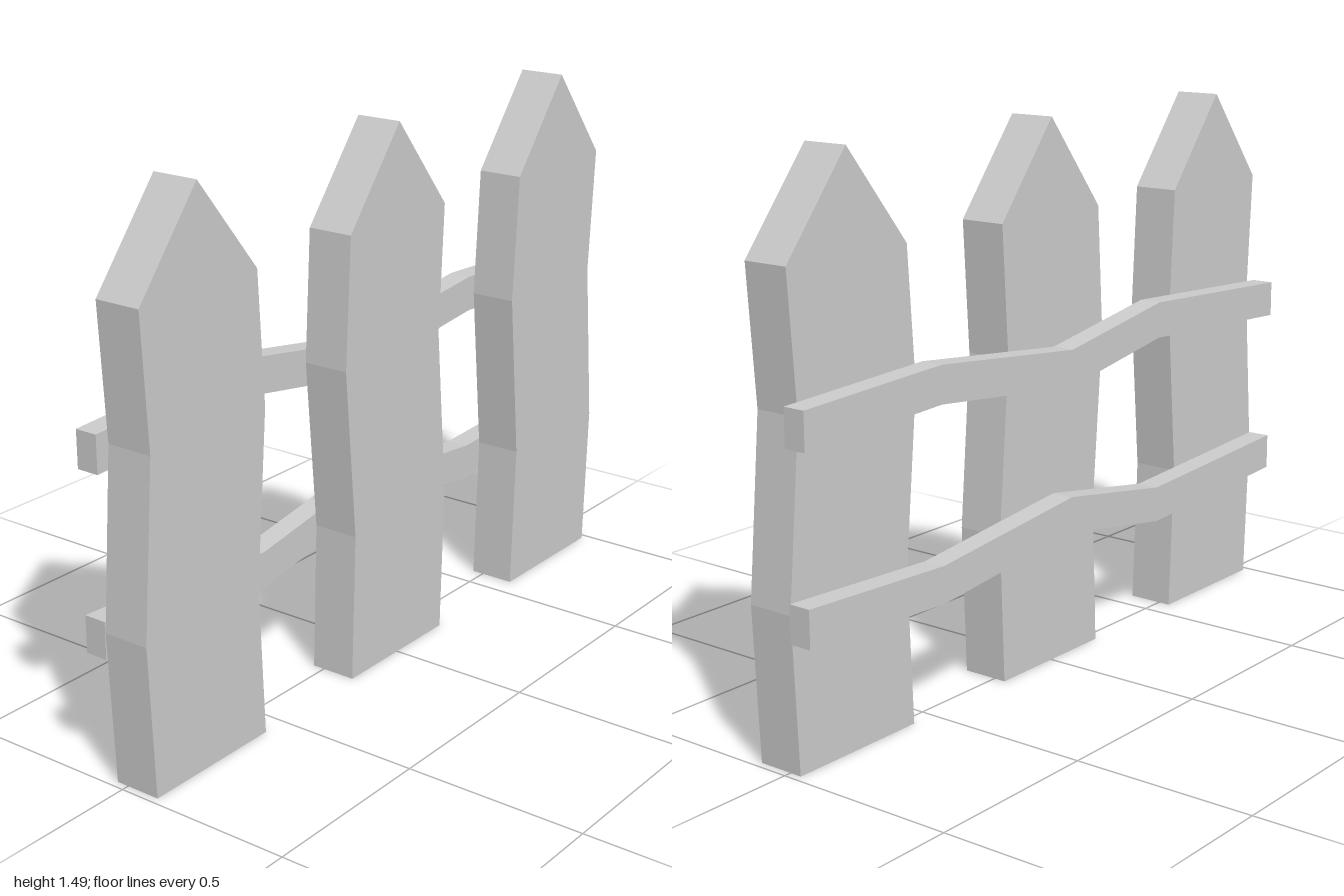
import * as THREE from 'three';

const material = new THREE.MeshStandardMaterial({ color: 0xcccccc, flatShading: true });

// Extrudes a flat outline from zBack to zFront
function board(name, outline, zBack, zFront) {
  const shape = new THREE.Shape(outline.map(([x, y]) => new THREE.Vector2(x, y)));
  const geometry = new THREE.ExtrudeGeometry(shape, { depth: zFront - zBack, bevelEnabled: false });
  geometry.translate(0, 0, zBack);
  const mesh = new THREE.Mesh(geometry, material);
  mesh.name = name;
  return mesh;
}

// Pointed picket whose sides sway by the given offsets at the two bends
function picket(name, x, lowSway, highSway) {
  const half = 0.205;
  const levels = [[0, 0], [0.41, lowSway], [0.88, highSway], [1.235, 0]];
  const right = levels.map(([y, sway]) => [x + sway + half, y]);
  const left = levels.map(([y, sway]) => [x + sway - half, y]).reverse();
  return board(name, [...right, [x, 1.49], ...left], -0.034, 0.097);
}

// Crooked rail: constant height around a bent centre line
function rail(name, y, bend) {
  const line = [[-1, 0], [-0.41, 0.03], [-0.01, -0.035], [0.52, 0.02], [1, 0]];
  const edge = (offset) => line.map(([x, dy]) => [x, y + dy * bend + offset]);
  return board(name, [...edge(-0.05), ...edge(0.05).reverse()], -0.097, -0.034);
}

export function createModel() {
  const fence = new THREE.Group();
  fence.name = 'picketFence';
  fence.add(
    picket('rightPicket', -0.775, -0.018, 0.02),
    picket('middlePicket', 0, 0.016, -0.022),
    picket('leftPicket', 0.775, 0.018, -0.025),
    rail('upperRail', 0.865, 1),
    rail('lowerRail', 0.39, -1),
  );
  return fence;
}
